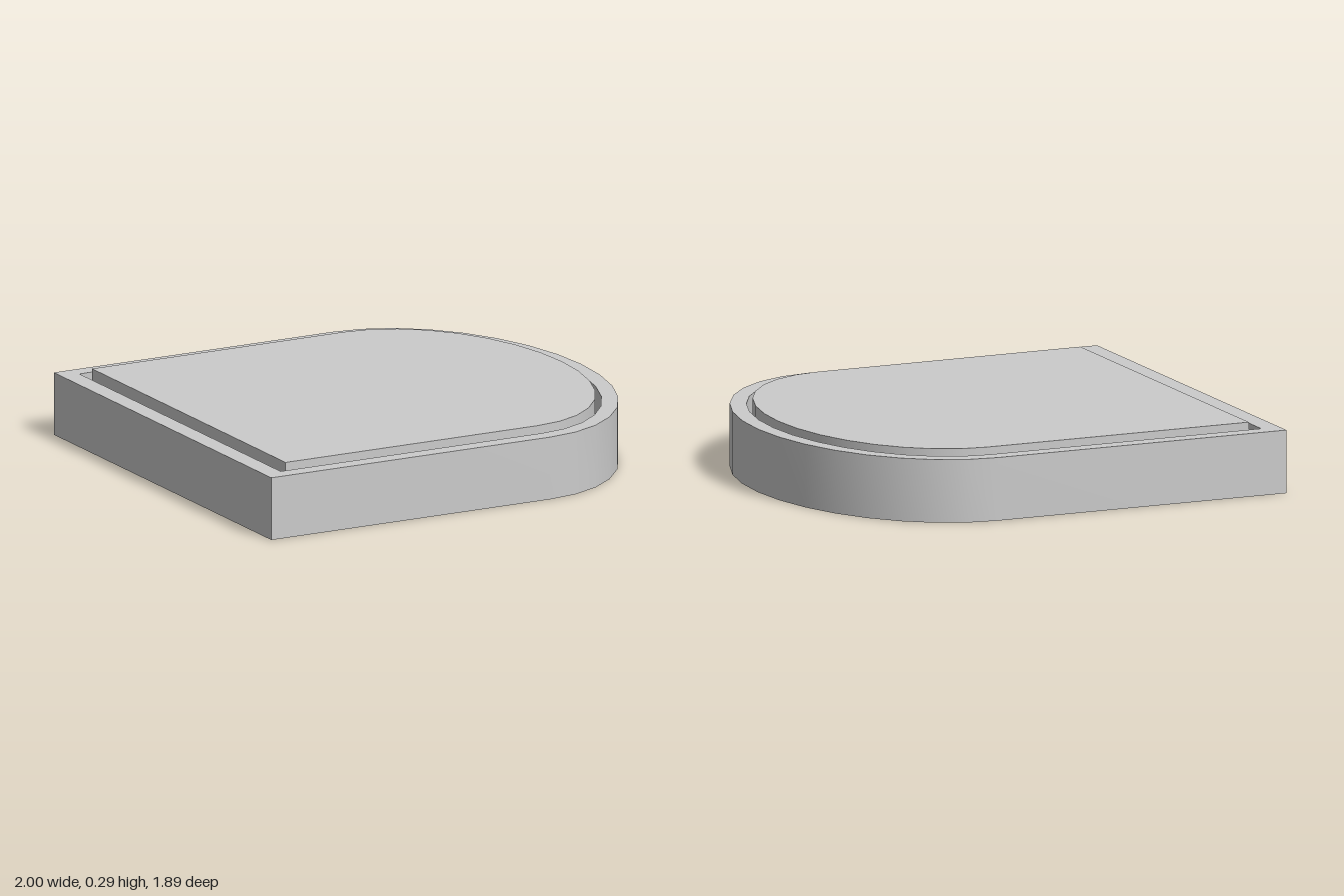
import * as THREE from 'three';
import { toCreasedNormals } from 'three/addons/utils/BufferGeometryUtils.js';

const ARC_START = 0.33; // x where the straight sides turn into the half ellipse
const ARC_STEPS = 16;

// D-shaped outline: square at xMin, half ellipse reaching xMax, half width w
function outline(xMin, xMax, w) {
  const points = [new THREE.Vector2(xMin, -w)];
  for (let i = 0; i <= ARC_STEPS; i++) {
    const a = -Math.PI / 2 + (Math.PI * i) / ARC_STEPS;
    points.push(new THREE.Vector2(ARC_START + (xMax - ARC_START) * Math.cos(a), w * Math.sin(a)));
  }
  points.push(new THREE.Vector2(xMin, w));
  return points;
}

export function createModel() {
  const group = new THREE.Group();
  const material = new THREE.MeshStandardMaterial({ color: 0xcccccc });

  // Upright slab between two heights, with an optional opening
  function addSlab(name, points, y0, y1, hole) {
    const shape = new THREE.Shape(points);
    if (hole) shape.holes.push(new THREE.Path(hole));
    const geometry = new THREE.ExtrudeGeometry(shape, { depth: y1 - y0, bevelEnabled: false });
    geometry.rotateX(-Math.PI / 2);
    geometry.translate(0, y0, 0);
    const mesh = new THREE.Mesh(toCreasedNormals(geometry, 0.5), material);
    mesh.name = name;
    group.add(mesh);
  }

  const outer = outline(-1, 1, 0.946);
  const recess = outline(-0.917, 0.929, 0.875);
  const panel = outline(-0.875, 0.905, 0.842);

  addSlab('rim', outer, 0, 0.27, recess);
  addSlab('trayFloor', recess, 0, 0.15);
  // Raised panel, leaving a narrow groove inside the rim
  addSlab('raisedPanel', panel, 0.15, 0.295);

  return group;
}
